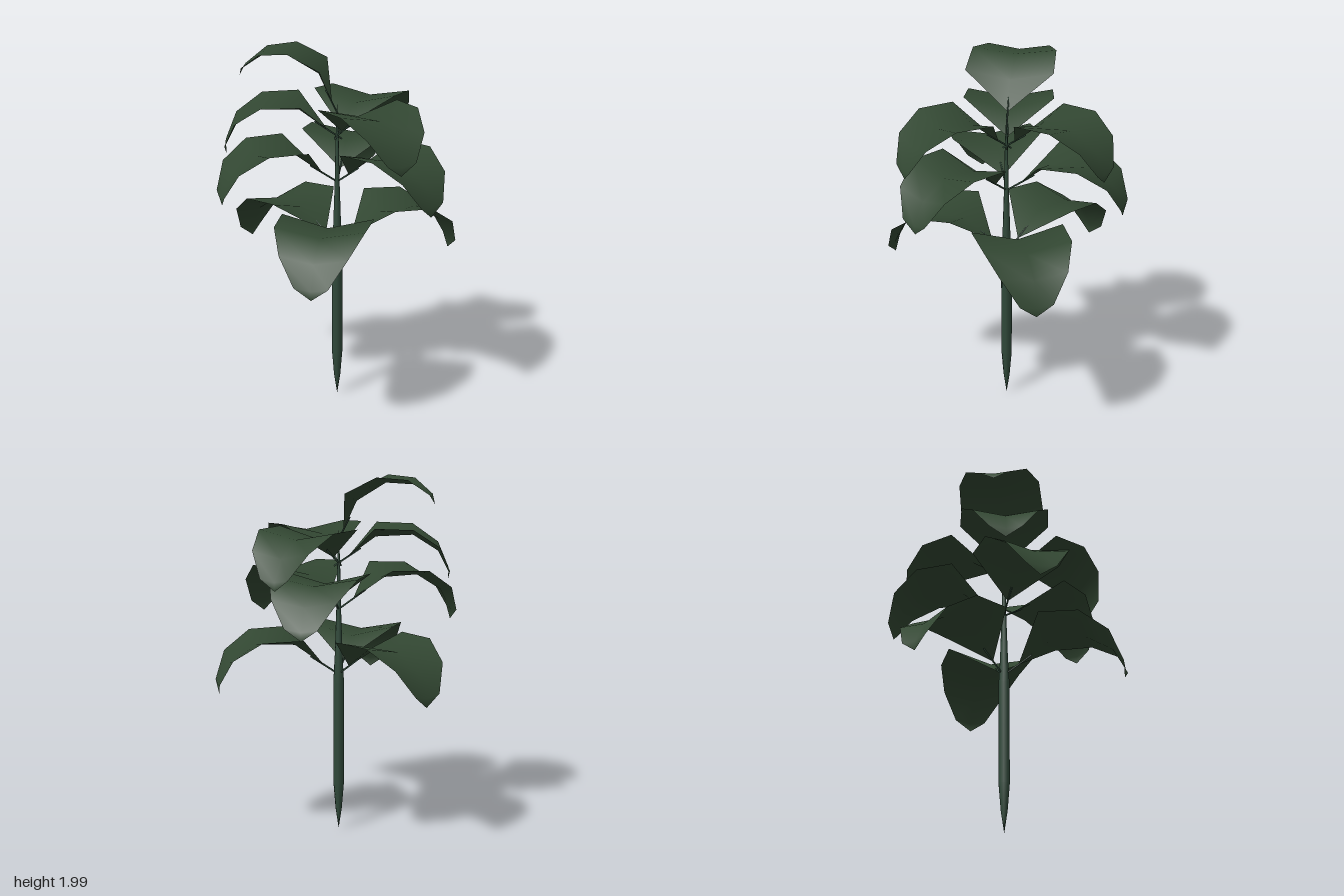
import * as THREE from 'three';
import { mergeVertices } from 'three/addons/utils/BufferGeometryUtils.js';

const leafMaterial = new THREE.MeshStandardMaterial({ color: 0x324732, side: THREE.DoubleSide });
const stemMaterial = new THREE.MeshStandardMaterial({ color: 0x30493a });

// Cross-sections from base to tip: [mid reach, mid height, edge reach, edge height, half width]
const LEAF_ROWS = [
  [0.05, 0.03, 0.05, 0.03, 0],
  [0.20, 0.14, 0.20, 0.20, 0.245],
  [0.40, 0.15, 0.40, 0.193, 0.235],
  [0.535, 0.065, 0.54, 0.098, 0.175],
  [0.595, -0.05, 0.597, -0.035, 0.087],
  [0.59, -0.095, 0.59, -0.095, 0],
];

// Arching blade folded along its midrib, growing along +x
function leafGeometry() {
  const positions = [];
  const index = [];
  LEAF_ROWS.forEach(([mx, my, ex, ey, w], i) => {
    positions.push(ex, ey, -w, mx, my, 0, ex, ey, w);
    if (i === 0) return;
    for (let j = 0; j < 2; j++) {
      const a = (i - 1) * 3 + j;
      const c = a + 3;
      index.push(a, a + 1, c, a + 1, c + 1, c);
    }
  });
  const geometry = new THREE.BufferGeometry();
  geometry.setAttribute('position', new THREE.Float32BufferAttribute(positions, 3));
  geometry.setIndex(index);
  const merged = mergeVertices(geometry);
  merged.computeVertexNormals();
  return merged;
}

// Thin stalk from the stem into the underside of the blade
function stalkGeometry() {
  const path = new THREE.LineCurve3(new THREE.Vector3(-0.025, -0.02, 0), new THREE.Vector3(0.12, 0.078, 0));
  return new THREE.TubeGeometry(path, 1, 0.005, 5);
}

export function createModel() {
  const plant = new THREE.Group();
  plant.name = 'plant';

  // Stem, pointed at the bottom and thinning between the leaf whorls
  const profile = [
    [0, 0.0], [0.018, 0.12], [0.03, 0.27], [0.03, 0.85], [0.022, 1.0],
    [0.013, 1.27], [0.008, 1.52], [0, 1.7],
  ].map(([r, y]) => new THREE.Vector2(r, y));
  const stem = new THREE.Mesh(new THREE.LatheGeometry(profile, 8), stemMaterial);
  stem.name = 'stem';
  stem.position.set(0.022, 0, 0.022);
  plant.add(stem);

  // Whorls of leaves: base height, distance from the axis, scale, upward pitch, first heading, count
  const whorls = [
    { name: 'lowerLeaf', y: 0.92, out: 0.03, scale: 1.08, width: 1.02, pitch: 0, heading: 54, count: 3 },
    { name: 'middleLeaf', y: 1.285, out: 0.03, scale: 1.04, width: 1.02, pitch: 0, heading: -6, count: 3 },
    { name: 'upperLeaf', y: 1.52, out: 0, scale: 1.01, width: 1.01, pitch: 0, heading: 10, count: 3 },
    { name: 'crownLeaf', y: 1.65, out: 0, scale: 0.93, width: 0.97, pitch: 29, heading: 137, count: 1 },
  ];
  const blade = leafGeometry();
  const stalk = stalkGeometry();
  for (const { name, y, out, scale, width, pitch, heading, count } of whorls) {
    for (let i = 0; i < count; i++) {
      const leaf = new THREE.Group();
      leaf.name = name;
      const bladeMesh = new THREE.Mesh(blade, leafMaterial);
      bladeMesh.name = 'blade';
      const stalkMesh = new THREE.Mesh(stalk, stemMaterial);
      stalkMesh.name = 'stalk';
      leaf.add(bladeMesh, stalkMesh);
      leaf.position.set(0.02, y, 0.02);
      leaf.rotation.order = 'YXZ';
      leaf.rotation.y = -THREE.MathUtils.degToRad(heading + i * 120);
      leaf.rotation.z = THREE.MathUtils.degToRad(pitch);
      leaf.scale.set(scale, scale, width);
      leaf.translateX(out);
      plant.add(leaf);
    }
  }
  return plant;
}
